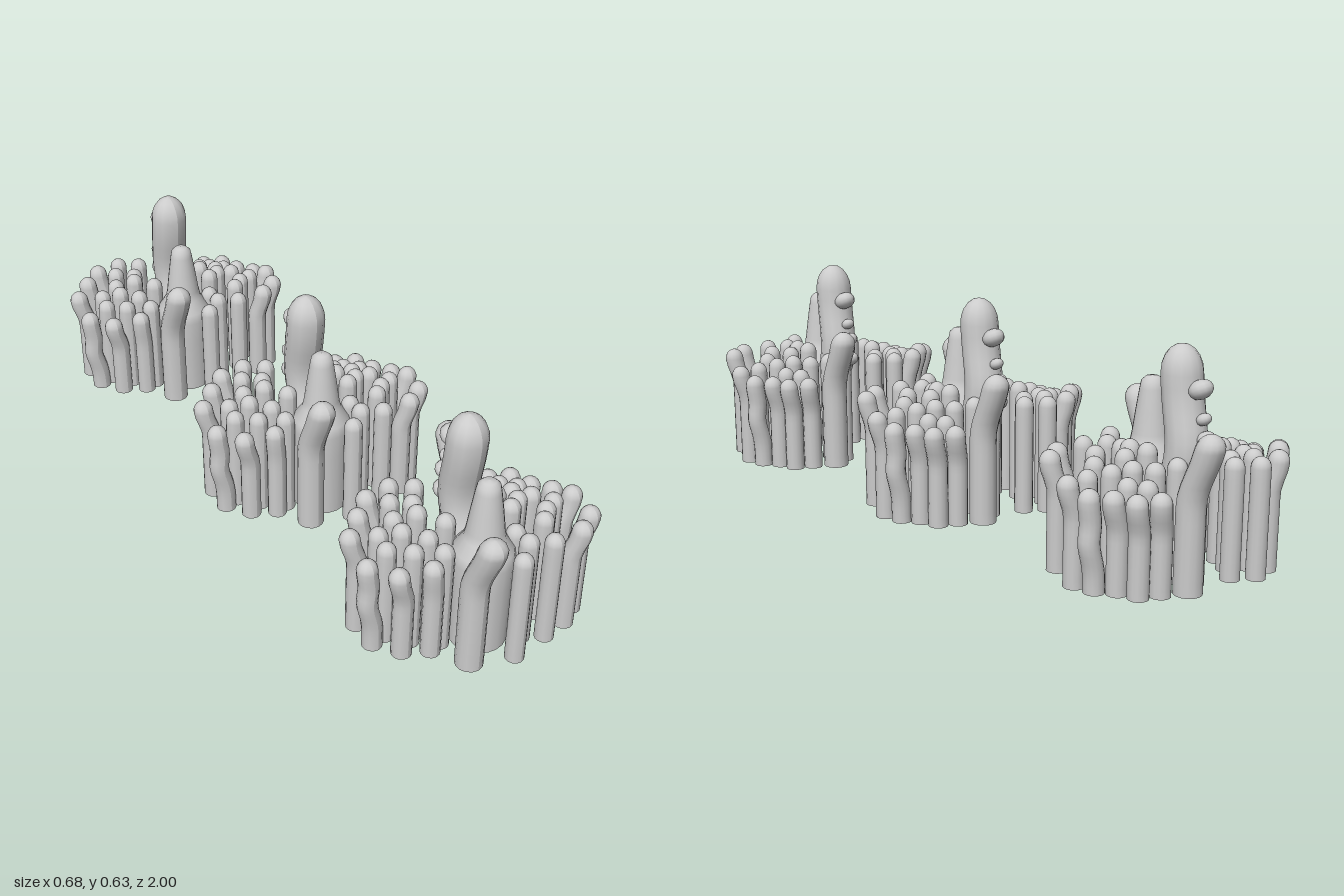
import * as THREE from 'three';

const material = new THREE.MeshStandardMaterial({ color: 0xcccccc, side: THREE.DoubleSide });
const smooth = THREE.MathUtils.smoothstep;

// Tips of the small fingers in plan (x, z); height and lean follow from the place in the ring
const TIPS = [
  // right half
  [-0.30, -0.10], [-0.18, -0.19], [-0.10, -0.195], [-0.245, -0.14], [-0.31, -0.01], [-0.265, 0.065],
  [-0.187, 0.105], [-0.045, -0.155], [-0.14, -0.14], [-0.17, -0.085], [-0.23, -0.07], [-0.09, -0.105],
  [-0.12, -0.05], [-0.245, -0.015], [-0.185, -0.03], [-0.20, 0.04], [-0.15, 0.035], [-0.14, 0.09], [-0.09, 0.03],
  // left half
  [0.245, -0.09], [0.265, -0.03], [0.30, 0.02], [0.31, 0.085], [0.26, 0.20], [0.20, 0.235], [0.107, 0.23],
  [-0.01, 0.243], [0.052, 0.195], [0.19, -0.12], [0.05, -0.115], [0.07, -0.065], [0.125, -0.04], [0.18, -0.065],
  [0.21, -0.025], [0.16, 0.005], [0.09, 0.08], [0.135, 0.055], [0.20, 0.04], [0.245, 0.08], [0.19, 0.11],
  [0.145, 0.15], [0.05, 0.145], [0.09, 0.02],
];

// Upright stalk, open below, round on top; bend(y) gives the sideways shift [dx, dz]
function stalk(name, x, z, height, radius, base, bend, tip = 1.1) {
  const profile = [];
  const shoulder = height - radius * tip;
  for (let i = 0; i <= 12; i++) profile.push(new THREE.Vector2(radius, base + (shoulder - base) * i / 12));
  for (let i = 1; i <= 5; i++) {
    const a = i / 5 * Math.PI / 2;
    profile.push(new THREE.Vector2(i === 5 ? 0 : radius * Math.cos(a), shoulder + radius * tip * Math.sin(a)));
  }
  const geometry = new THREE.LatheGeometry(profile, 14);
  const p = geometry.attributes.position;
  for (let i = 0; i < p.count; i++) {
    const [dx, dz] = bend(p.getY(i));
    p.setXYZ(i, p.getX(i) + dx, p.getY(i), p.getZ(i) + dz);
  }
  geometry.computeVertexNormals();
  const mesh = new THREE.Mesh(geometry, material);
  mesh.name = name;
  mesh.position.set(x, 0, z);
  return mesh;
}

// Small finger: inner ones are taller, outer ones lean outward, the two at the far sides bulge
function smallFinger([x, z], base) {
  const rim = Math.hypot(x / 0.31, (z - 0.02 - 0.25 * x) / 0.21);
  const side = Math.sign(x + z * 0.1);
  const height = Math.max(0.30 + 0.05 * smooth(side * z, 0.04, 0.14), 0.30 + 0.11 * (1 - rim));
  const outer = smooth(rim, 0.8, 0.95) * smooth(Math.abs(x), 0.1, 0.2);
  const lean = 0.022 * outer;
  const bulge = Math.abs(x) > 0.29 && Math.abs(z) < 0.03 ? 0.02 : 0;
  const d = Math.hypot(x, z), ox = x / d, oz = z / d;
  return stalk('smallFinger', x - ox * lean, z - oz * lean, height, 0.027 + 0.002 * outer, base, y => {
    const s = lean * smooth(y, height - 0.12, height - 0.03) + bulge * Math.exp(-(((y - 0.16) / 0.06) ** 2));
    return [ox * s, oz * s];
  });
}

function createCluster(base) {
  const cluster = new THREE.Group();
  cluster.name = 'coralCluster';
  for (const tip of TIPS) cluster.add(smallFinger(tip, base));

  // Two long fingers bending away to front and back
  for (const [name, x, z, dir] of [['frontLongFinger', -0.121, 0.19, 1], ['backLongFinger', 0.106, -0.143, -1]]) {
    cluster.add(stalk(name, x, z, 0.45, 0.039, base, y => [0, dir * 0.056 * smooth(y, 0.25, 0.44)]));
  }

  // Tall column branching from the cone, swaying back and then upright
  cluster.add(stalk('tallColumn', 0.003, -0.01, 0.627, 0.056, 0.15,
    y => [0.012 * (1 - smooth(y, 0.33, 0.52)),
      0.05 * (1 - smooth(y, 0.15, 0.32)) - 0.033 * Math.exp(-(((y - 0.36) / 0.11) ** 2))], 1.35));

  // Tapering cone in front of the column
  const outline = [[0.08, base], [0.082, 0.2], [0.085, 0.27], [0.08, 0.3], [0.056, 0.335], [0.051, 0.36],
    [0.043, 0.42], [0.034, 0.48], [0.03, 0.5], [0.018, 0.511], [0, 0.514]];
  const cone = new THREE.Mesh(
    new THREE.LatheGeometry(outline.map(([r, y]) => new THREE.Vector2(r, y)), 20), material);
  cone.name = 'taperedCone';
  cone.position.set(-0.032, 0, 0.117);
  cluster.add(cone);

  // Buds up the back of the column
  for (const [y, z, r] of [[0.52, -0.078, 0.032], [0.445, -0.092, 0.02], [0.395, -0.1, 0.025], [0.33, -0.1, 0.027]]) {
    const bud = new THREE.Mesh(new THREE.SphereGeometry(r, 12, 8), material);
    bud.name = 'bud';
    bud.scale.set(1, 0.8, 1.1);
    bud.rotation.x = 0.5;
    bud.position.set(0.008, y, z);
    cluster.add(bud);
  }
  return cluster;
}

export function createModel() {
  const model = new THREE.Group();
  model.name = 'coralRow';
  // Three clusters in a row, the rear one cut slightly higher at the bottom
  for (const [z, base] of [[0.717, 0], [0, 0], [-0.772, 0.02]]) {
    const cluster = createCluster(base);
    cluster.position.z = z;
    model.add(cluster);
  }
  return model;
}
